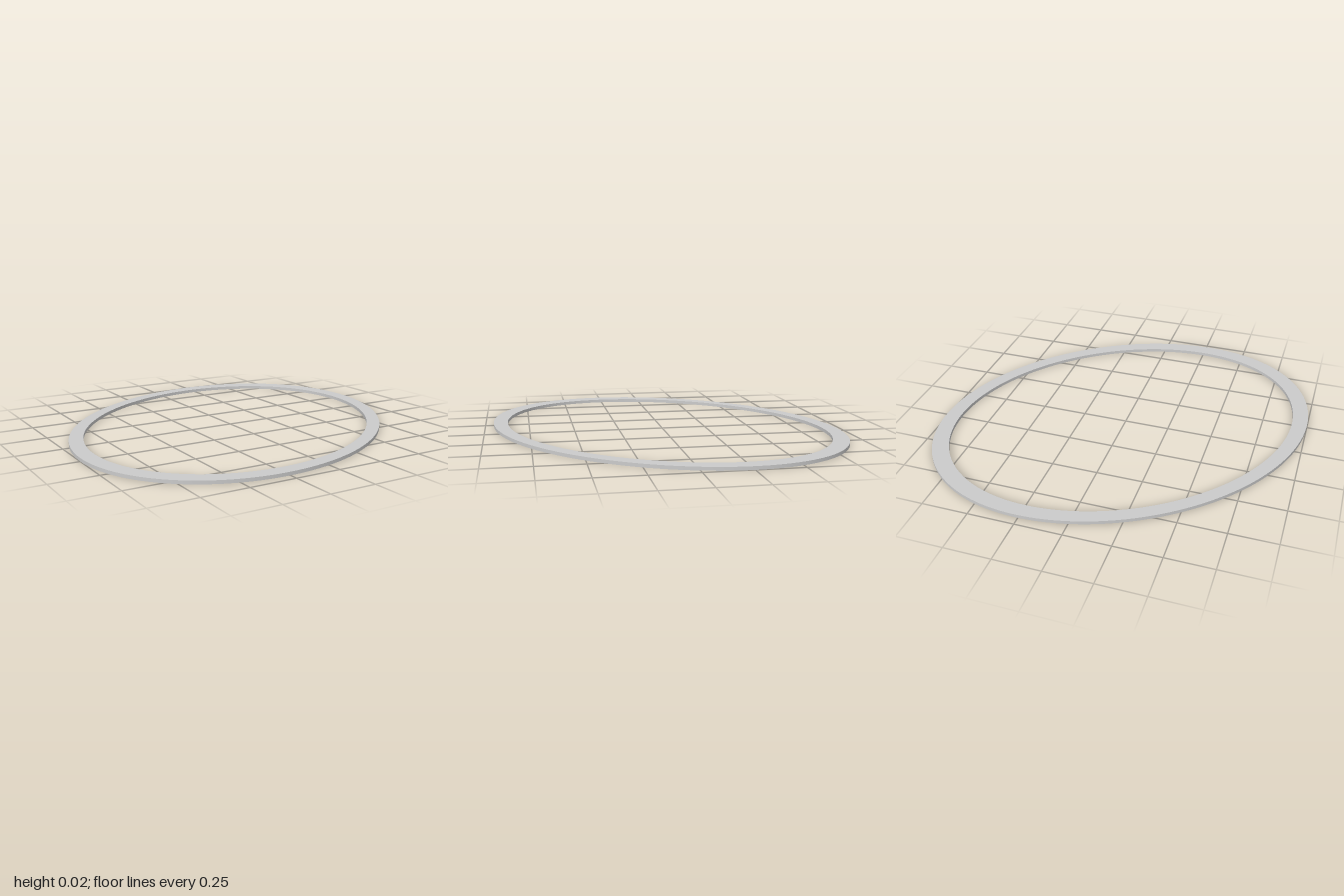
import * as THREE from 'three';
import { toCreasedNormals } from 'three/addons/utils/BufferGeometryUtils.js';

// Flat elliptical ring, its long axis turned between +x and -z
export function createModel() {
  const a = 1.099, b = 0.836, tilt = 0.694; // outer half-axes and turn
  const inner = 0.916; // opening as a share of the outer ellipse
  const height = 0.018;

  const outline = new THREE.Shape();
  outline.absellipse(0, 0, a, b, 0, Math.PI * 2, false, tilt);
  const opening = new THREE.Path();
  opening.absellipse(0, 0, a * inner, b * inner, 0, Math.PI * 2, true, tilt);
  outline.holes.push(opening);

  const extruded = new THREE.ExtrudeGeometry(outline, {
    depth: height, bevelEnabled: false, curveSegments: 96,
  });
  extruded.rotateX(-Math.PI / 2); // lay the ring on the ground

  const ring = new THREE.Mesh(
    toCreasedNormals(extruded, 0.6),
    new THREE.MeshStandardMaterial({ color: 0xcccccc }),
  );
  ring.name = 'ellipticalRing';

  const group = new THREE.Group();
  group.name = 'ring';
  group.add(ring);
  return group;
}
